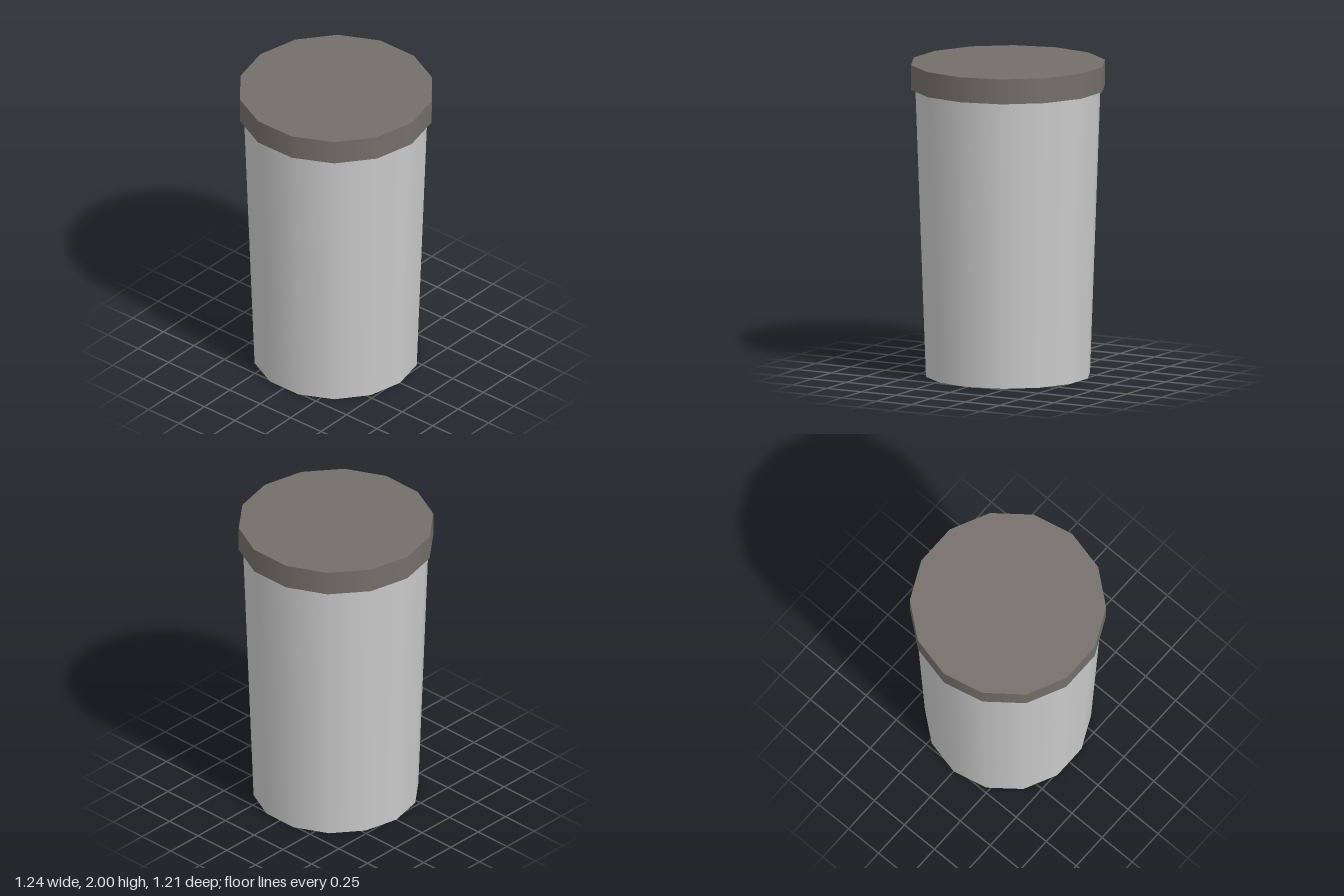
import * as THREE from 'three';

const SIDES = 14;

// Upright 14-sided drum with smooth walls, flat caps and a corner on +x
function drum(name, topRadius, bottomRadius, y0, y1, color) {
  const geometry = new THREE.CylinderGeometry(
    topRadius, bottomRadius, y1 - y0, SIDES, 1, false, Math.PI / 2);
  const mesh = new THREE.Mesh(geometry, new THREE.MeshStandardMaterial({ color }));
  mesh.name = name;
  mesh.position.y = (y0 + y1) / 2;
  return mesh;
}

export function createModel() {
  const group = new THREE.Group();
  group.name = 'liddedCup';

  // Tapered body, wider at the rim
  group.add(drum('cupBody', 0.592, 0.525, 0, 1.84, 0xcccccc));

  // Overhanging straight-sided lid
  group.add(drum('lid', 0.62, 0.62, 1.84, 2, 0x736e69));

  return group;
}
